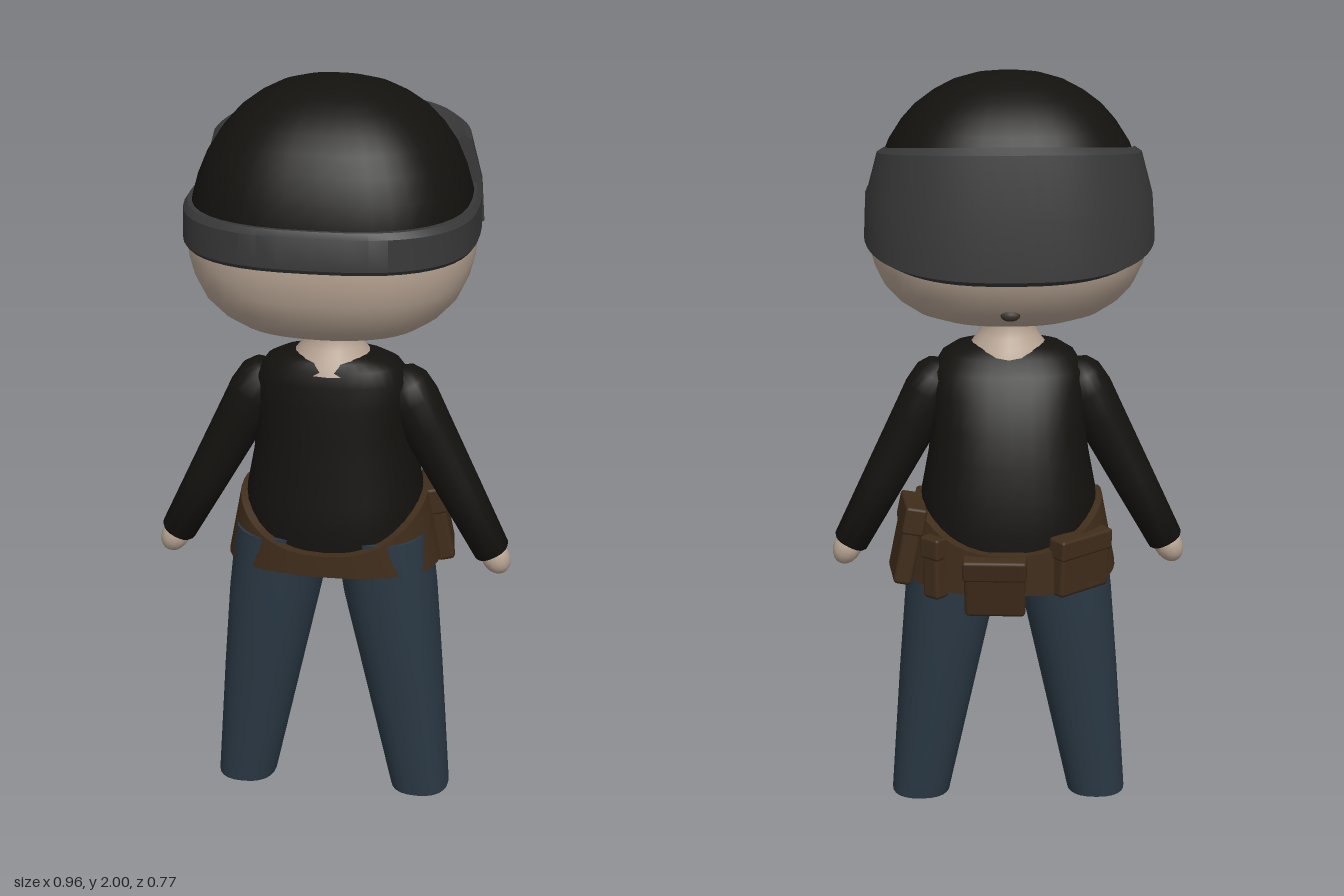
import * as THREE from 'three';
import { toCreasedNormals } from 'three/addons/utils/BufferGeometryUtils.js';
import { RoundedBoxGeometry } from 'three/addons/geometries/RoundedBoxGeometry.js';

const V = (x, y, z) => new THREE.Vector3(x, y, z);
const mat = (color) => new THREE.MeshStandardMaterial({ color, roughness: 0.9 });

// Point on a superellipse; n = 2 is an ellipse, higher is squarer
function oval(a, rx, rz, n) {
  const c = Math.cos(a), s = Math.sin(a), p = 2 / n;
  return [rx * Math.sign(c) * Math.abs(c) ** p, rz * Math.sign(s) * Math.abs(s) ** p];
}

function ring(cx, y, cz, rx, rz, n = 2, count = 32) {
  return Array.from({ length: count }, (_, i) => {
    const [x, z] = oval((i / count) * Math.PI * 2, rx, rz, n);
    return V(cx + x, y, cz + z);
  });
}

// Skins a list of equal-length loops; closed joins last to first, otherwise ends are capped
function loft(rings, closed = false, crease = 0.8) {
  const m = rings[0].length, pos = [], idx = [];
  rings.forEach((r) => r.forEach((p) => pos.push(p.x, p.y, p.z)));
  const spans = closed ? rings.length : rings.length - 1;
  for (let i = 0; i < spans; i++) for (let j = 0; j < m; j++) {
    const i2 = (i + 1) % rings.length, j2 = (j + 1) % m;
    const a = i * m + j, b = i * m + j2, c = i2 * m + j2, d = i2 * m + j;
    idx.push(a, d, b, b, d, c);
  }
  if (!closed) [0, rings.length - 1].forEach((k) => {
    const mid = rings[k].reduce((s, p) => s.add(p), V(0, 0, 0)).divideScalar(m);
    const o = pos.length / 3;
    pos.push(mid.x, mid.y, mid.z);
    for (let j = 0; j < m; j++) {
      const a = k * m + j, b = k * m + (j + 1) % m;
      idx.push(o, ...(k === 0 ? [a, b] : [b, a]));
    }
  });
  const g = new THREE.BufferGeometry();
  g.setAttribute('position', new THREE.Float32BufferAttribute(pos, 3));
  g.setIndex(idx);
  return toCreasedNormals(g, crease);
}

export function createModel() {
  const model = new THREE.Group();
  model.name = 'figure';
  const skin = mat(0xb8a594), cloth = mat(0x14120f), denim = mat(0x2b3945);
  const leather = mat(0x402d1b), plastic = mat(0x383838), dark = mat(0x3b322c);
  const add = (name, geo, material, parent = model) => {
    const mesh = new THREE.Mesh(geo, material);
    mesh.name = name;
    parent.add(mesh);
    return mesh;
  };

  // Head: rounded-square bowl, with cap dome above
  const face = [[1.36, 0.36], [1.368, 0.5], [1.39, 0.67], [1.42, 0.79], [1.46, 0.89],
    [1.51, 0.955], [1.56, 0.99], [1.61, 1], [1.68, 0.97]];
  add('head', loft(face.map(([y, s]) => ring(0, y, 0.045, 0.366 * s, 0.325 * s, 2.4, 40))), skin);
  const dome = [[1.62, 1], [1.7, 0.985], [1.76, 0.94], [1.82, 0.87], [1.87, 0.78], [1.91, 0.68],
    [1.945, 0.55], [1.972, 0.41], [1.99, 0.25], [1.998, 0.1], [2, 0.01]];
  add('cap', loft(dome.map(([y, s]) => ring(0, y, 0.038, 0.357 * s, 0.328 * s, 2.6, 40))), cloth);
  const mouth = add('mouth', new THREE.SphereGeometry(1, 12, 8), dark);
  mouth.scale.set(0.025, 0.015, 0.015);
  mouth.position.set(0, 1.42, -0.212);

  // Headset strap around the head
  const strap = [];
  for (let i = 0; i < 48; i++) {
    const a = (i / 48) * Math.PI * 2;
    strap.push([[1, 1.69], [1.005, 1.61], [0.985, 1.6], [0.88, 1.6], [0.88, 1.705], [0.97, 1.705]].map(([s, y]) => {
      const [x, z] = oval(a, 0.37 * s, 0.34 * s, 2.7);
      return V(x, y, 0.04 + z);
    }));
  }
  add('headsetStrap', loft(strap, true, 0.6), plastic);

  // Visor: section of (radius, height fraction) swept round the face
  const section = [[0.285, 1], [0.302, 0.95], [0.328, 0.5], [0.335, 0.04], [0.315, 0],
    [0.2, 0.1], [0.2, 0.86], [0.25, 0.9]];
  const visor = [];
  for (let i = 0; i <= 32; i++) {
    const a = Math.PI + 0.085 + (i / 32) * (Math.PI - 0.17), f = -Math.sin(a);
    const low = 1.6 - 0.07 * f, high = 1.825 + 0.04 * f;
    visor.push(section.map(([r, h]) => {
      const [x, z] = oval(a, r * 1.105, r, 2.6);
      return V(x, low + (high - low) * h, z - 0.05);
    }));
  }
  add('visor', loft(visor, false, 0.45), plastic);

  // Neck and jumper
  const neck = [[1.25, 0.115], [1.285, 0.1], [1.31, 0.08], [1.34, 0.07], [1.4, 0.075]];
  add('neck', loft(neck.map(([y, r]) => ring(0, y, 0.055, r, r * 0.95, 2, 20))), skin);
  // rows: height, half width, back z, front z
  const torso = [[0.74, 0.24, 0.21, -0.19], [0.82, 0.238, 0.212, -0.19], [0.9, 0.232, 0.203, -0.182],
    [1, 0.213, 0.19, -0.163], [1.08, 0.204, 0.182, -0.142], [1.16, 0.203, 0.174, -0.112],
    [1.22, 0.2, 0.166, -0.08], [1.26, 0.175, 0.158, -0.05], [1.28, 0.14, 0.148, -0.025], [1.29, 0.09, 0.13, -0.01]];
  add('torso', loft(torso.map(([y, w, b, f]) => ring(0, y, (b + f) / 2, w, (b - f) / 2, 2.5))), cloth);

  // Arms hang outward, legs stand apart
  for (const side of [1, -1]) {
    const name = side > 0 ? 'left' : 'right';
    const arm = new THREE.Group();
    arm.name = name + 'Arm';
    arm.position.set(0.43 * side, 0.728, 0.04);
    arm.rotation.z = 0.479 * side;
    model.add(arm);
    const sleeve = [[0, 0.042], [0.008, 0.048], [0.2, 0.057], [0.4, 0.066], [0.48, 0.07], [0.53, 0.064], [0.56, 0.045], [0.575, 0.015]];
    add(name + 'Sleeve', loft(sleeve.map(([y, r]) => ring(0, y, 0, r, r * 1.05, 2.2, 20))), cloth, arm);
    const hand = add(name + 'Hand', new THREE.SphereGeometry(0.038, 14, 10), skin, arm);
    hand.scale.y = 1.3;
    hand.position.y = -0.015;

    const leg = [[0, 0.245, 0.08, 0.088], [0.36, 0.193, 0.107, 0.127], [0.6, 0.157, 0.124, 0.153], [0.8, 0.13, 0.128, 0.165]];
    add(name + 'Leg', loft(leg.map(([y, x, rx, rz]) => ring(x * side, y, 0.04, rx, rz, 2.4, 24))), denim);
  }
  const hips = [[0.655, 0.04, 0.06], [0.68, 0.1, 0.12], [0.71, 0.2, 0.17], [0.8, 0.23, 0.18]];
  add('hips', loft(hips.map(([y, rx, rz]) => ring(0, y, 0.03, rx, rz, 2.4))), denim);

  // Belt: high on the hips, dipping at front and back
  const belt = [];
  for (let i = 0; i < 48; i++) {
    const a = (i / 48) * Math.PI * 2, s = Math.sin(a);
    const top = 0.775 + 0.105 * Math.cos(a) ** 2, low = 0.69 + 0.025 * s;
    belt.push([[0, top], [0, low], [-0.035, low], [-0.035, top]].map(([d, y]) => {
      const [x, z] = oval(a, 0.29 - (y - 0.67) * 0.19 + d, 0.225 + d, 2.4);
      return V(x, y, 0.01 + z);
    }));
  }
  add('belt', loft(belt, true, 0.6), leather);

  // Pouches: position, size, outward heading, tilt
  const pouches = [
    ['sidePouch', [0.272, 0.778, -0.07], [0.15, 0.215, 0.05], Math.PI / 2 + 0.12, -0.2],
    ['narrowPouch', [0.195, 0.73, -0.16], [0.055, 0.17, 0.05], Math.PI * 0.77, 0],
    ['frontPouch', [0.04, 0.69, -0.196], [0.16, 0.17, 0.055], Math.PI * 0.98, 0.22],
    ['wideFrontPouch', [-0.185, 0.74, -0.155], [0.17, 0.16, 0.05], -Math.PI * 0.78, 0.05],
  ];
  for (const [name, p, size, heading, tilt] of pouches) {
    const pouch = new THREE.Group();
    pouch.name = name;
    pouch.position.set(...p);
    pouch.rotation.set(tilt, heading, 0, 'YXZ');
    model.add(pouch);
    add(name + 'Body', new RoundedBoxGeometry(...size, 2, 0.012), leather, pouch);
    const flap = add(name + 'Flap', new RoundedBoxGeometry(size[0] + 0.008, size[1] * 0.35, size[2] + 0.008, 2, 0.008), leather, pouch);
    flap.position.y = size[1] * 0.33;
  }
  return model;
}
